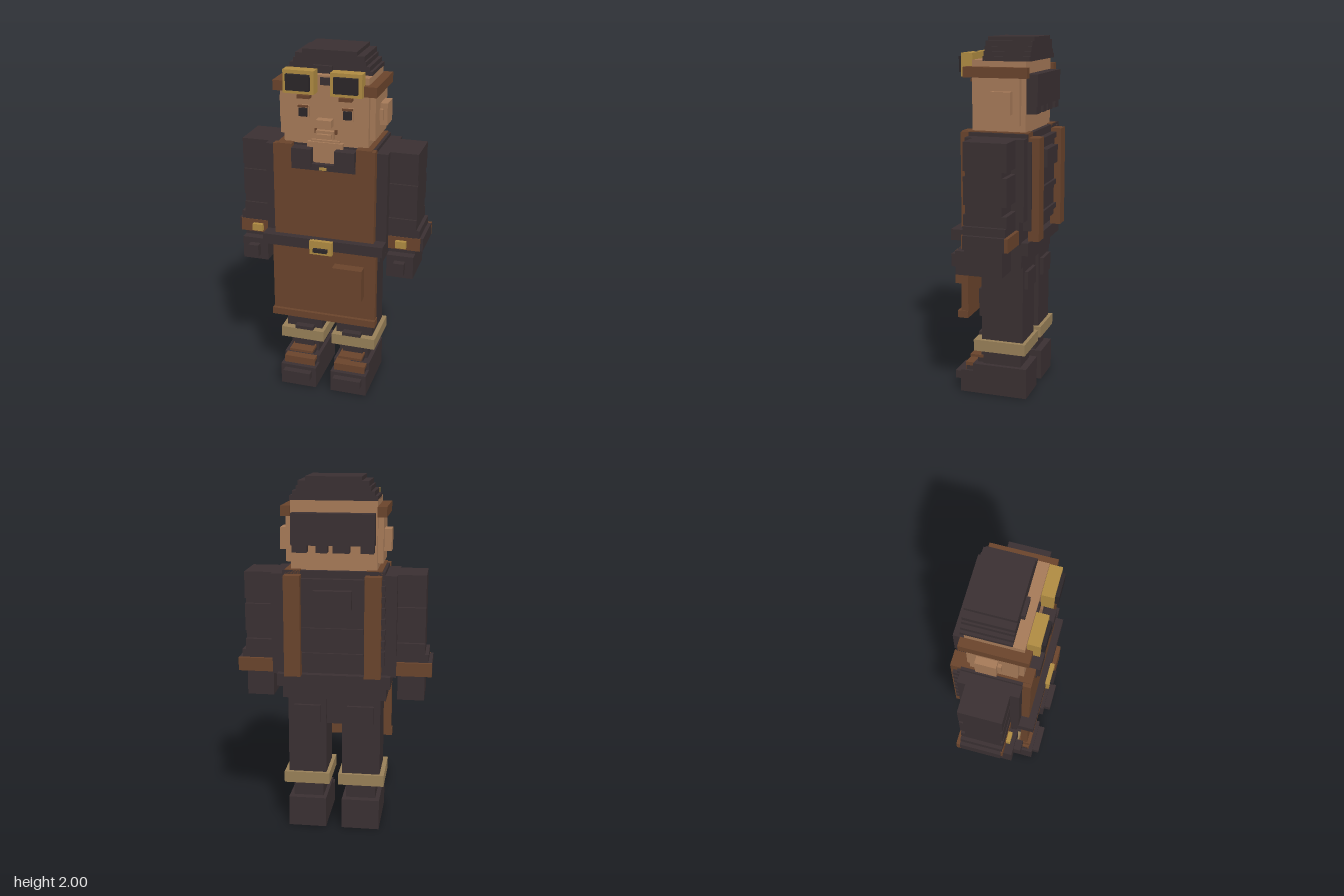
import * as THREE from 'three';

const mat = (name, color) => new THREE.MeshStandardMaterial({ name, color });

export function createModel() {
  const root = new THREE.Group();
  root.name = 'blockCraftsman';
  const dark = mat('darkCloth', 0x3a3032);
  const brown = mat('leather', 0x6a442c);
  const skin = mat('skin', 0xa67a58);
  const gold = mat('brass', 0xb08c42);
  const tan = mat('tanCuff', 0x988058);
  const black = mat('black', 0x2b2629);

  // box from its extents
  const box = (name, m, x0, x1, y0, y1, z0, z1) => {
    const mesh = new THREE.Mesh(new THREE.BoxGeometry(x1 - x0, y1 - y0, z1 - z0), m);
    mesh.position.set((x0 + x1) / 2, (y0 + y1) / 2, (z0 + z1) / 2);
    mesh.name = name;
    root.add(mesh);
  };
  // the same box on both sides
  const pair = (name, m, x0, x1, ...r) => {
    box(name + 'Left', m, x0, x1, ...r);
    box(name + 'Right', m, -x1, -x0, ...r);
  };
  // box centred on x
  const mid = (name, m, w, ...r) => box(name, m, -w, w, ...r);

  // boots with toe caps and laces
  pair('boot', dark, 0.045, 0.26, 0, 0.13, -0.19, 0.2);
  pair('bootUpper', dark, 0.045, 0.26, 0.13, 0.175, -0.19, 0.125);
  pair('toeCap', dark, 0.07, 0.235, 0.065, 0.11, 0.2, 0.24);
  pair('toeStep', dark, 0.06, 0.245, 0.13, 0.155, 0.125, 0.17);
  pair('lowerLace', brown, 0.06, 0.245, 0.155, 0.175, 0.1, 0.175);
  pair('bootFront', brown, 0.06, 0.245, 0.13, 0.155, 0.17, 0.175);
  pair('upperLace', brown, 0.08, 0.22, 0.2, 0.215, 0.06, 0.155);
  pair('lacePanel', dark, 0.08, 0.22, 0.175, 0.2, 0.06, 0.11);
  pair('laceTop', dark, 0.09, 0.21, 0.215, 0.265, 0.06, 0.09);

  // legs
  pair('ankle', dark, 0.065, 0.235, 0.17, 0.27, -0.15, 0.07);
  pair('trouserCuff', tan, 0.025, 0.285, 0.265, 0.33, -0.19, 0.11);
  pair('leg', dark, 0.045, 0.26, 0.33, 0.85, -0.17, 0.07);
  pair('kneeFold', dark, 0.06, 0.245, 0.46, 0.62, 0.07, 0.09);
  pair('hemFold', dark, 0.09, 0.2, 0.33, 0.35, 0.07, 0.11);
  mid('crotch', dark, 0.06, 0.62, 0.85, -0.15, 0.06);
  pair('backPocket', dark, 0.075, 0.225, 0.635, 0.735, -0.19, -0.17);
  mid('hips', dark, 0.29, 0.77, 0.92, -0.17, 0.135);
  mid('jacketHem', dark, 0.315, 0.85, 0.92, -0.215, 0.135);

  // torso
  mid('torso', dark, 0.345, 0.91, 1.48, -0.175, 0.13);
  mid('shoulders', dark, 0.28, 1.48, 1.5, -0.2, 0.13);
  mid('backPanel', dark, 0.345, 1.04, 1.48, -0.2, -0.175);
  mid('backCentre', dark, 0.28, 0.98, 1.46, -0.22, -0.175);
  mid('backPlate', dark, 0.105, 1.3, 1.4, -0.26, -0.22);
  for (const y of [1.02, 1.16, 1.43]) mid('backFold', dark, 0.17, y, y + 0.03, -0.235, -0.22);
  pair('backStrap', brown, 0.175, 0.265, 0.92, 1.48, -0.26, -0.2);
  for (let i = 0; i < 7; i++) {
    const y = 1.04 + i * 0.06;
    box('strapStitch', dark, -0.285, -0.265, y, y + 0.03, -0.245, -0.2);
  }

  // apron with pocket, belt and buckle
  mid('apronBib', brown, 0.285, 0.9, 1.38, 0.13, 0.175);
  pair('apronStrap', brown, 0.18, 0.285, 1.38, 1.5, 0.13, 0.175);
  pair('strapOverShoulder', brown, 0.18, 0.265, 1.48, 1.505, -0.2, 0.175);
  mid('apronSkirt', brown, 0.3, 0.5, 0.91, 0.135, 0.175);
  mid('apronHem', brown, 0.305, 0.46, 0.5, 0.135, 0.195);
  box('apronPocket', brown, 0.065, 0.235, 0.635, 0.825, 0.175, 0.235);
  mid('belt', dark, 0.345, 0.915, 0.975, 0.13, 0.215);
  mid('buckle', gold, 0.065, 0.895, 0.975, 0.21, 0.235);
  mid('bucklePin', black, 0.04, 0.915, 0.935, 0.235, 0.255);

  // collar and neck
  pair('collar', dark, 0.065, 0.175, 1.39, 1.49, 0.1, 0.195);
  mid('collarBase', dark, 0.18, 1.37, 1.405, 0.13, 0.18);
  mid('collarStud', gold, 0.02, 1.375, 1.39, 0.18, 0.188);
  mid('neck', skin, 0.1, 1.4, 1.52, -0.1, 0.15);

  // sleeves with folds, cuffs and hands
  pair('sleeve', dark, 0.345, 0.5, 0.98, 1.48, -0.13, 0.07);
  for (const [y0, y1] of [[0.99, 1.1], [1.15, 1.3], [1.33, 1.48]])
    pair('sleeveFold', dark, 0.345, 0.5, y0, y1, -0.155, 0.082);
  pair('sleeveEnd', dark, 0.345, 0.52, 0.98, 1.04, -0.155, 0.08);
  pair('cuff', dark, 0.345, 0.54, 0.92, 0.995, -0.155, 0.075);
  pair('cuffFront', brown, 0.345, 0.525, 0.92, 0.995, 0.075, 0.085);
  pair('cuffBack', brown, 0.345, 0.54, 0.92, 0.995, -0.175, -0.155);
  pair('cuffButton', gold, 0.39, 0.45, 0.935, 0.975, 0.085, 0.108);
  pair('hand', dark, 0.35, 0.5, 0.77, 0.92, -0.13, 0.08);
  pair('knuckles', dark, 0.35, 0.5, 0.77, 0.9, 0.08, 0.13);
  pair('fingers', dark, 0.395, 0.455, 0.8, 0.87, 0.13, 0.17);

  // head and ears
  mid('head', skin, 0.235, 1.5, 1.88, -0.175, 0.125);
  pair('cheek', skin, 0.235, 0.265, 1.54, 1.79, -0.15, 0.1);
  pair('ear', skin, 0.265, 0.305, 1.6, 1.72, -0.11, 0.0);
  pair('earFront', skin, 0.265, 0.285, 1.63, 1.69, 0.0, 0.02);

  // face
  pair('eyeSocket', skin, 0.09, 0.155, 1.645, 1.715, 0.125, 0.135);
  pair('eye', black, 0.1, 0.145, 1.655, 1.7, 0.135, 0.148);
  pair('eyelid', brown, 0.095, 0.15, 1.705, 1.715, 0.135, 0.148);
  pair('eyebrow', brown, 0.08, 0.15, 1.757, 1.775, 0.125, 0.165);
  mid('nose', skin, 0.042, 1.61, 1.65, 0.125, 0.175);
  mid('mouth', skin, 0.05, 1.54, 1.585, 0.125, 0.15);
  mid('lips', skin, 0.04, 1.55, 1.57, 0.15, 0.168);
  pair('mouthCorner', brown, 0.05, 0.063, 1.565, 1.59, 0.125, 0.133);
  mid('chin', skin, 0.08, 1.5, 1.53, 0.125, 0.14);

  // stepped hair
  [[0.235, 1.875, 1.9], [0.22, 1.9, 1.925], [0.2, 1.925, 1.95], [0.19, 1.95, 1.978], [0.15, 1.978, 2.0]]
    .forEach(([w, y0, y1]) => mid('hairLayer', dark, w, y0, y1, -0.195, 0.065));
  box('fringe', dark, -0.085, 0.02, 1.85, 1.92, 0.06, 0.085);
  mid('fringeTuft', dark, 0.03, 1.83, 1.87, 0.08, 0.135);
  mid('backHair', dark, 0.225, 1.64, 1.81, -0.237, -0.17);
  [[-0.22, -0.15], [-0.09, 0.0], [0.03, 0.09], [0.14, 0.22]]
    .forEach(([x0, x1]) => box('hairTip', dark, x0, x1, 1.6, 1.64, -0.23, -0.17));

  // goggles pushed up on the brow
  pair('goggleStrap', brown, 0.235, 0.285, 1.79, 1.845, -0.195, 0.16);
  pair('goggleHinge', brown, 0.21, 0.285, 1.79, 1.845, 0.125, 0.16);
  pair('goggleFrame', gold, 0.045, 0.215, 1.79, 1.915, 0.13, 0.195);
  pair('goggleLens', black, 0.065, 0.195, 1.81, 1.895, 0.19, 0.215);

  return root;
}
